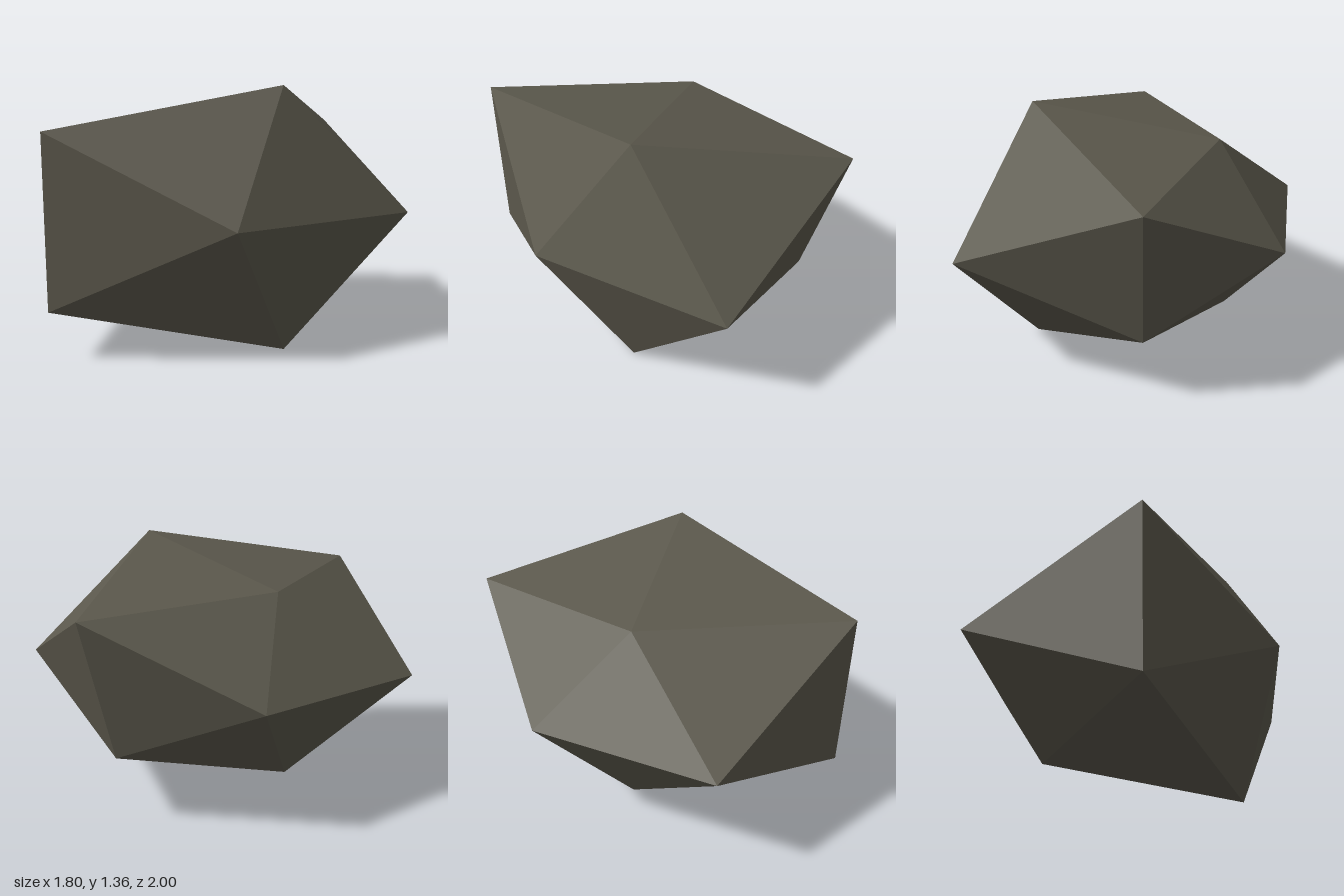
import * as THREE from 'three';

// Twelve corners of an uneven icosahedron, as three crossed rectangles
const corners = [
  // ridge and keel
  [-0.43, 1.16, -0.05], [0.55, 1.36, -0.04], [-0.49, 0.19, -0.04], [0.58, 0, -0.04],
  // front pair, back pair
  [-0.03, 0.26, 0.99], [-0.03, 1.15, 1.0], [-0.03, 0.37, -0.8], [-0.03, 1.11, -1.0],
  // left pair, right pair
  [0.9, 0.7, -0.62], [0.72, 0.7, 0.42], [-0.74, 0.7, -0.48], [-0.9, 0.7, 0.49],
];

const faces = [
  0, 11, 5, 0, 5, 1, 0, 1, 7, 0, 7, 10, 0, 10, 11, // around the low ridge corner
  1, 5, 9, 5, 11, 4, 11, 10, 2, 10, 7, 6, 7, 1, 8, // upper belt
  3, 9, 4, 3, 4, 2, 3, 2, 6, 3, 6, 8, 3, 8, 9, // around the lowest corner
  4, 9, 5, 2, 4, 11, 6, 2, 10, 8, 6, 7, 9, 8, 1, // lower belt
];

export function createModel() {
  const stone = new THREE.MeshStandardMaterial({ color: 0x5b584c });
  stone.name = 'stone';

  const indexed = new THREE.BufferGeometry();
  indexed.setAttribute('position', new THREE.Float32BufferAttribute(corners.flat(), 3));
  indexed.setIndex(faces);

  // Separate the faces so each facet has its own flat normal
  const geometry = indexed.toNonIndexed();
  geometry.computeVertexNormals();

  const rock = new THREE.Mesh(geometry, stone);
  rock.name = 'rock';

  const model = new THREE.Group();
  model.name = 'boulder';
  model.add(rock);
  return model;
}
